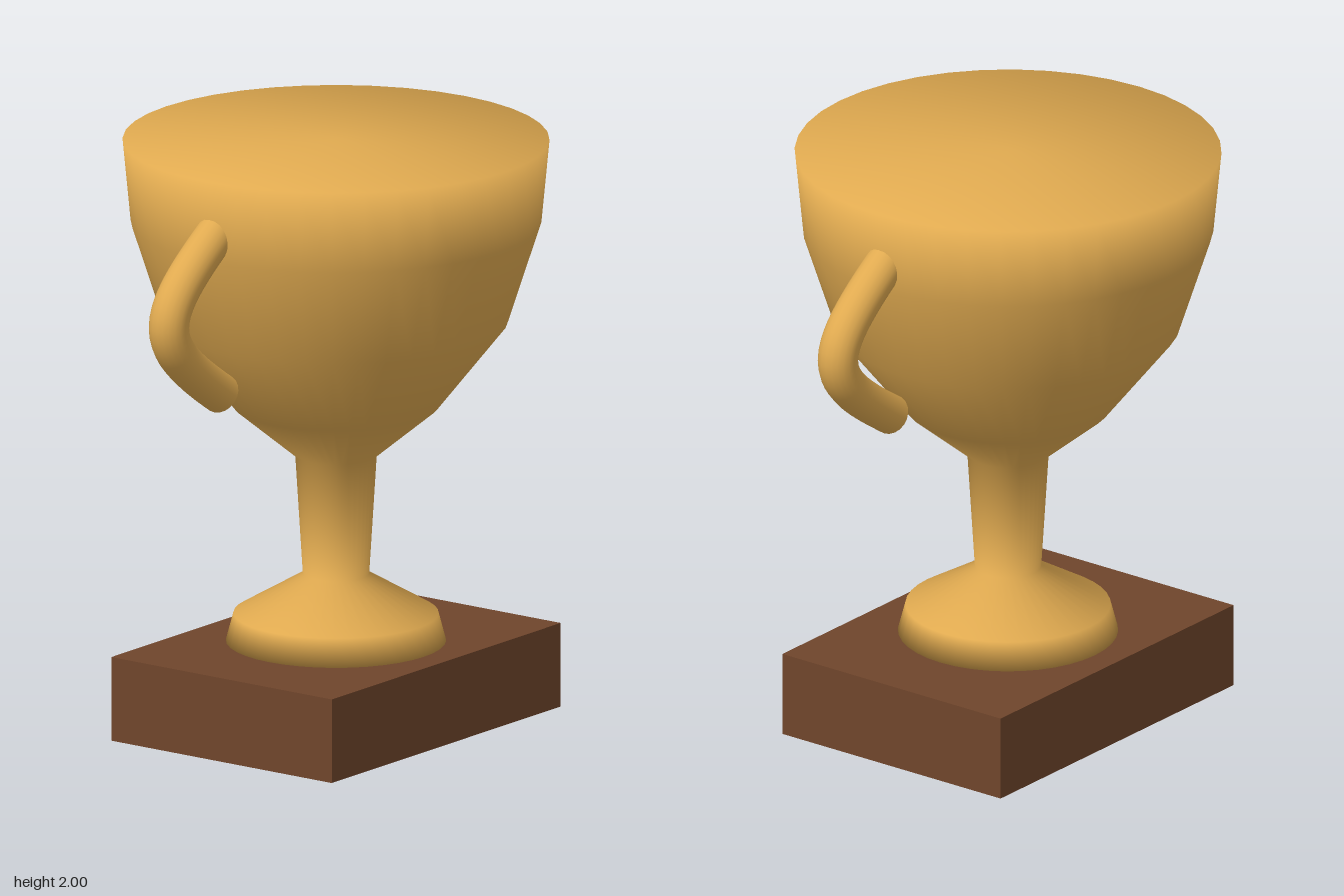
import * as THREE from 'three';
import { mergeVertices } from 'three/addons/utils/BufferGeometryUtils.js';

const gold = new THREE.MeshStandardMaterial({ color: 0xe0aa50 });
const goldOpen = new THREE.MeshStandardMaterial({ color: 0xe0aa50, side: THREE.DoubleSide });
const wood = new THREE.MeshStandardMaterial({ color: 0x6f452b });

function addMesh(parent, name, geometry, material) {
  const mesh = new THREE.Mesh(geometry, material);
  mesh.name = name;
  parent.add(mesh);
  return mesh;
}

// Closed turned solid, smooth-shaded across every edge
function turned(profile, segments) {
  const lathe = new THREE.LatheGeometry(profile.map(([r, y]) => new THREE.Vector2(r, y)), segments);
  lathe.deleteAttribute('uv');
  lathe.deleteAttribute('normal');
  const geometry = mergeVertices(lathe, 1e-4);
  geometry.computeVertexNormals();
  return geometry;
}

export function createModel() {
  const trophy = new THREE.Group();
  trophy.name = 'trophy';

  // Wooden plinth
  const baseHeight = 0.286;
  addMesh(trophy, 'base', new THREE.BoxGeometry(1.254, baseHeight, 0.916), wood)
    .position.y = baseHeight / 2;

  // Foot, stem and cup in one profile, closed by a flat top
  addMesh(trophy, 'cup', turned([
    [0, baseHeight], [0.365, baseHeight], [0.34, 0.38], // foot
    [0.11, 0.515], [0.135, 0.92], // stem
    [0.34, 1.09], [0.57, 1.38], [0.68, 1.72], [0.707, 2], [0, 2], // bowl
  ], 40), gold);

  // Bent tube handles, fixed at the top and free at the bottom
  for (const [name, s] of [['leftHandle', 1], ['rightHandle', -1]]) {
    const path = new THREE.CubicBezierCurve3(
      new THREE.Vector3(s * 0.63, 1.83, 0),
      new THREE.Vector3(s * 1.01, 1.586, 0),
      new THREE.Vector3(s * 1.01, 1.504, 0),
      new THREE.Vector3(s * 0.63, 1.26, 0),
    );
    addMesh(trophy, name, new THREE.TubeGeometry(path, 32, 0.067, 20), goldOpen);
  }

  return trophy;
}
